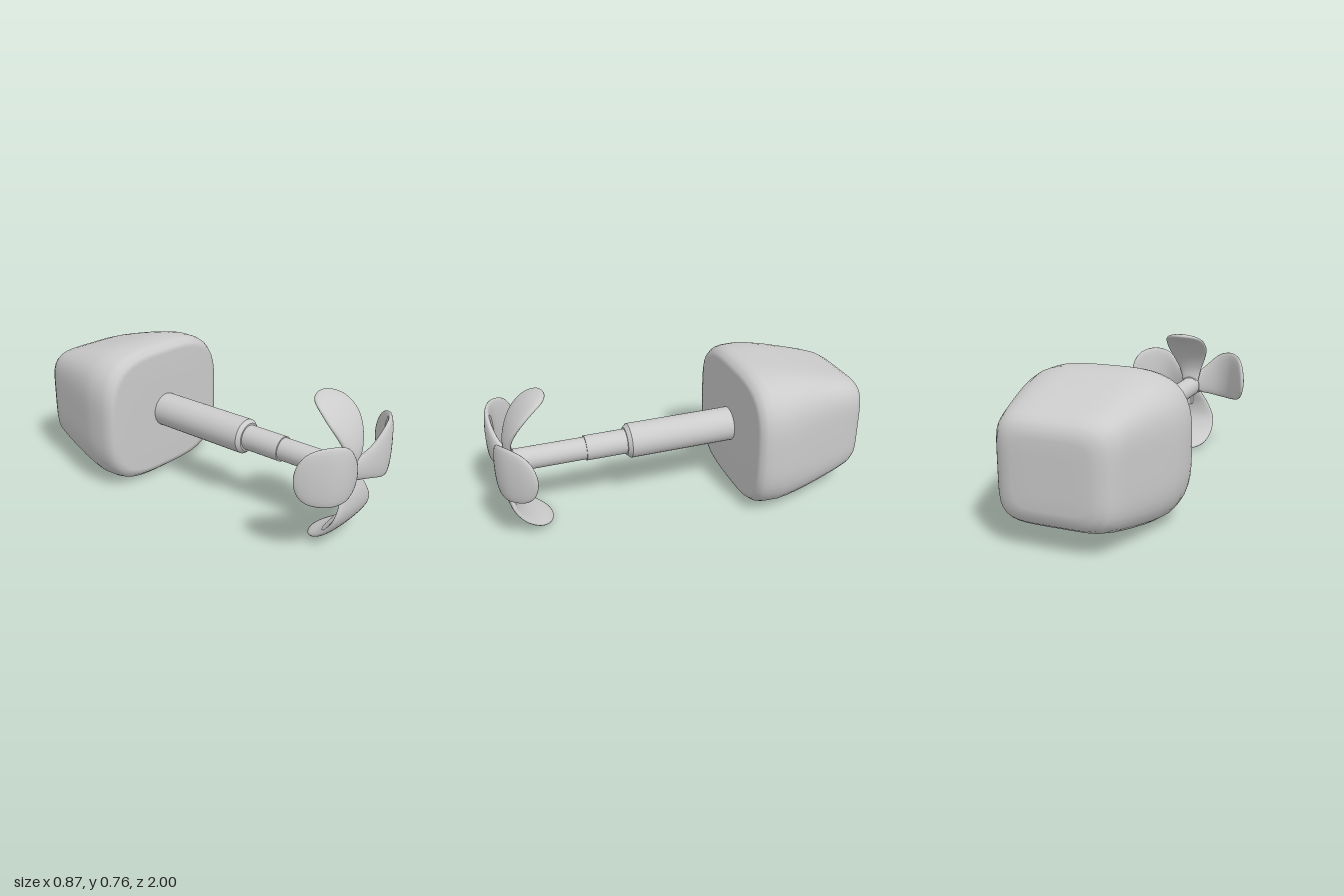
import * as THREE from 'three';

const material = new THREE.MeshStandardMaterial({ color: 0xcccccc, side: THREE.DoubleSide });
const CX = -0.007, CY = 0.386; // shaft axis

function mesh(name, geometry) {
  const m = new THREE.Mesh(geometry, material);
  m.name = name;
  return m;
}

// Skin a list of closed rings of Vector3, facing outwards
function loft(rings) {
  const n = rings[0].length, index = [];
  const pts = rings.flat();
  for (let i = 0; i < rings.length - 1; i++) {
    for (let j = 0; j < n; j++) {
      const a = i * n + j, b = i * n + (j + 1) % n;
      index.push(a, b, a + n, b, b + n, a + n);
    }
  }
  let volume = 0;
  const v = new THREE.Vector3();
  for (let i = 0; i < index.length; i += 3) {
    volume += pts[index[i]].dot(v.crossVectors(pts[index[i + 1]], pts[index[i + 2]]));
  }
  if (volume < 0) index.reverse();
  const g = new THREE.BufferGeometry().setFromPoints(pts);
  g.setIndex(index);
  g.computeVertexNormals();
  return g;
}

// Tapered soft-cornered block: stations of z, half width, half height, squareness
function bodyGeometry() {
  const stations = [
    [-0.31, 0, 0, 3.4], [-0.31, 0.2, 0.17, 3.4], [-0.31, 0.385, 0.325, 3.4],
    [-0.315, 0.415, 0.35, 3.4], [-0.345, 0.432, 0.372, 3.4], [-0.38, 0.437, 0.38, 3.4],
    [-0.46, 0.437, 0.38, 3.5], [-0.53, 0.42, 0.37, 3.7], [-0.62, 0.395, 0.351, 4],
    [-0.75, 0.355, 0.318, 4.5], [-0.86, 0.322, 0.287, 5], [-0.93, 0.302, 0.264, 5],
    [-0.97, 0.275, 0.24, 5], [-0.993, 0.235, 0.205, 5], [-1, 0.19, 0.165, 5],
    [-1, 0.1, 0.09, 5], [-1, 0, 0, 5],
  ];
  return loft(stations.map(([z, w, h, n]) => {
    const ring = [];
    for (let j = 0; j < 64; j++) {
      const a = (j / 64) * Math.PI * 2, c = Math.cos(a), s = Math.sin(a);
      const r = (Math.abs(c) ** n + Math.abs(s) ** n) ** (-1 / n);
      ring.push(new THREE.Vector3(w * c * r, 0.39 + h * s * r, z));
    }
    return ring;
  }));
}

// Curved paddle: centre points, half widths and the direction across the blade
function bladeGeometry(points, widths, across) {
  const path = new THREE.CatmullRomCurve3(points.map((p) => new THREE.Vector3(...p)));
  const spread = new THREE.CatmullRomCurve3(widths.map((w, i) => new THREE.Vector3(w, i * 0.08, 0)));
  const rings = [];
  for (let i = 0; i <= 32; i++) {
    const t = Math.sin((i / 32) * Math.PI / 2);
    const round = Math.sqrt(Math.max(0, 1 - t ** 7));
    const c = path.getPoint(t), w = spread.getPoint(t).x * round;
    const normal = path.getTangent(t).cross(across).normalize();
    const ring = [];
    for (let j = 0; j < 28; j++) {
      const a = (j / 28) * Math.PI * 2;
      const s = Math.sin(a);
      const thick = 0.021 * Math.sqrt(round) * Math.sign(s) * Math.abs(s) ** 0.8;
      ring.push(c.clone().addScaledVector(across, w * Math.cos(a)).addScaledVector(normal, thick));
    }
    rings.push(ring);
  }
  return loft(rings);
}

function shaftPart(name, radiusFront, radiusBack, z0, z1) {
  const m = mesh(name, new THREE.CylinderGeometry(radiusFront, radiusBack, z1 - z0, 32));
  m.rotation.x = Math.PI / 2;
  m.position.set(CX, CY, (z0 + z1) / 2);
  return m;
}

export function createModel() {
  const model = new THREE.Group();
  model.name = 'propellerUnit';
  model.add(mesh('housing', bodyGeometry()));

  // Stepped shaft
  model.add(
    shaftPart('shaftSleeve', 0.094, 0.094, -0.33, 0.27),
    shaftPart('sleeveChamfer', 0.076, 0.094, 0.27, 0.29),
    shaftPart('shaftCollar', 0.067, 0.067, 0.28, 0.51),
    shaftPart('shaft', 0.06, 0.06, 0.5, 0.9),
  );

  // Rounded hub and its small peg below
  const hub = mesh('hub', new THREE.SphereGeometry(0.06, 32, 20));
  hub.scale.z = 0.6;
  hub.position.set(CX, CY + 0.008, 0.9);
  const peg = mesh('hubPeg', new THREE.BoxGeometry(0.045, 0.06, 0.045));
  peg.position.set(CX, 0.308, 0.875);
  model.add(hub, peg);

  // Four blades, the side pair mirrored
  const X = new THREE.Vector3(1, 0, 0), Y = new THREE.Vector3(0, 1, 0);
  for (const s of [1, -1]) {
    const points = [[0, 0.395, 0.91], [0.08, 0.425, 0.957], [0.17, 0.457, 0.976],
      [0.25, 0.466, 0.952], [0.32, 0.465, 0.89], [0.37, 0.457, 0.822]]
      .map(([x, y, z]) => [s * x - 0.003, y, z]);
    model.add(mesh(s > 0 ? 'leftBlade' : 'rightBlade',
      bladeGeometry(points, [0.05, 0.085, 0.135, 0.152, 0.152, 0.15], Y)));
  }
  model.add(mesh('topBlade', bladeGeometry(
    [[CX, 0.42, 0.905], [-0.004, 0.5, 0.91], [-0.003, 0.58, 0.885], [-0.003, 0.65, 0.84],
      [-0.003, 0.71, 0.775], [-0.003, 0.748, 0.7]],
    [0.05, 0.07, 0.105, 0.129, 0.132, 0.13], X)));
  model.add(mesh('bottomBlade', bladeGeometry(
    [[CX, 0.36, 0.9], [CX, 0.28, 0.925], [-0.004, 0.195, 0.922], [-0.003, 0.12, 0.878],
      [-0.003, 0.06, 0.805], [-0.003, 0.02, 0.71]],
    [0.07, 0.115, 0.156, 0.166, 0.164, 0.16], X)));
  return model;
}
